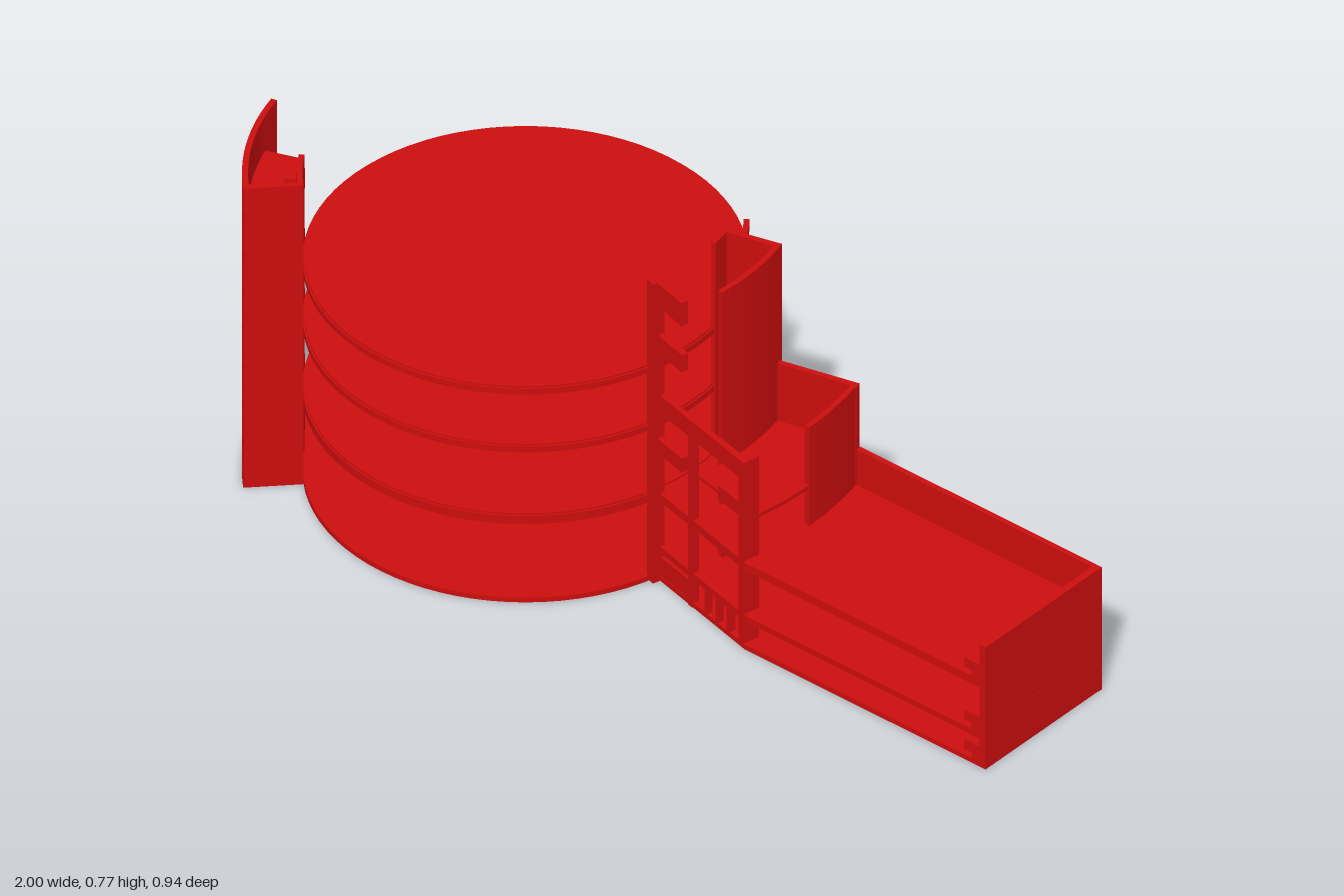
import * as THREE from 'three';

export function createModel() {
  const model = new THREE.Group();
  const red = new THREE.MeshStandardMaterial({ color: 0xcc0d0d, side: THREE.DoubleSide });
  const CX = -0.425; // axis shared by the discs and all curved walls

  function group(name) {
    const g = new THREE.Group();
    g.name = name;
    model.add(g);
    return g;
  }
  function add(parent, name, geometry) {
    const m = new THREE.Mesh(geometry, red);
    m.name = name;
    parent.add(m);
    return m;
  }
  // Box given by its limits
  function box(parent, name, x0, x1, y0, y1, z0, z1) {
    add(parent, name, new THREE.BoxGeometry(x1 - x0, y1 - y0, z1 - z0))
      .position.set((x0 + x1) / 2, (y0 + y1) / 2, (z0 + z1) / 2);
  }
  // Ring sector about the axis; degrees run from +x towards +z
  function sector(parent, name, r0, r1, a0, a1, y0, y1) {
    const s = new THREE.Shape();
    const n = Math.max(1, Math.ceil((a1 - a0) / 2));
    for (let k = 0; k < 2 * (n + 1); k++) {
      const outer = k <= n;
      const t = outer ? k / n : (2 * n + 1 - k) / n;
      const a = THREE.MathUtils.degToRad(a0 + (a1 - a0) * t);
      const r = outer ? r1 : r0;
      const p = [CX + r * Math.cos(a), -r * Math.sin(a)];
      if (k) s.lineTo(...p); else s.moveTo(...p);
    }
    const g = new THREE.ExtrudeGeometry(s, { depth: y1 - y0, bevelEnabled: false });
    g.rotateX(-Math.PI / 2).translate(0, y0, 0);
    add(parent, name, g);
  }

  // Round floors, each with a thinner protruding lip
  const discs = group('roundFloors');
  for (const [y0, y1] of [[0, 0.012], [0.2, 0.228], [0.386, 0.408], [0.536, 0.558]]) {
    const h = y1 - y0, lip = y0 ? 0.004 : 0;
    add(discs, 'floorDisc', new THREE.CylinderGeometry(0.464, 0.464, h, 80)).position.set(CX, y0 + h / 2, 0);
    add(discs, 'floorLip', new THREE.CylinderGeometry(0.468, 0.468, h - 2 * lip, 80)).position.set(CX, y0 + h / 2, 0);
  }

  // Free-standing curved stair tower
  const stair = group('stairTower');
  const TOP = 0.775;
  sector(stair, 'outerWall', 0.582, 0.595, 139.2, 166, 0, TOP);
  sector(stair, 'outerWallEnd', 0.582, 0.595, 134, 136.7, 0, TOP);
  const bars = [0, 0.09, 0.19, 0.28, 0.38, 0.48, 0.57, 0.67, 0.755];
  for (const y of bars) sector(stair, 'windowBar', 0.582, 0.595, 136.7, 139.2, y, y + 0.02);
  sector(stair, 'endWall', 0.468, 0.595, 134, 135.4, 0, TOP);
  sector(stair, 'innerWall', 0.468, 0.48, 134, 147.5, 0, TOP);
  for (const y of [0.05, 0.195, 0.365, 0.52, 0.675]) {
    sector(stair, 'landing', 0.5, 0.59, 134.5, 160, y, y + 0.01);
    sector(stair, 'landingBracket', 0.47, 0.51, 145, 150, y, y + 0.05);
  }
  sector(stair, 'baseSlab', 0.46, 0.595, 134, 166, 0, 0.012);

  // Tall hollow core tower
  const core = group('coreTower');
  sector(core, 'outerWall', 0.583, 0.595, -15, 5.8, 0, TOP);
  sector(core, 'backWall', 0.46, 0.595, -15, -13.6, 0, TOP);
  sector(core, 'innerBackPier', 0.46, 0.472, -15, -8, 0, TOP);
  // Curved panels reaching out from the core along the disc rims
  sector(core, 'upperRimPanel', 0.458, 0.47, -38.5, -15, 0.64, 0.665);
  sector(core, 'lowerRimPanel', 0.458, 0.47, -38.5, -15, 0.097, 0.165);

  // Stepped link between the round floors and the wing
  const link = group('linkBlock');
  sector(link, 'baseSlab', 0.455, 0.785, -14, 13.8, 0, 0.012);
  sector(link, 'lowerSlab', 0.468, 0.785, -14, 13.8, 0.072, 0.088);
  sector(link, 'middleSlab', 0.468, 0.785, -14, 13.8, 0.205, 0.225);
  sector(link, 'upperSlab', 0.595, 0.78, -14, 12, 0.322, 0.331);
  sector(link, 'outerWall', 0.768, 0.78, -14, 0, 0, 0.48);
  sector(link, 'backWall', 0.595, 0.782, -14, -12.9, 0, 0.48);

  // Front frame of the link: posts, beam and brackets
  const frame = group('frontFrame');
  sector(frame, 'innerPost', 0.46, 0.482, 12.4, 16, 0, TOP);
  sector(frame, 'middlePost', 0.585, 0.6, 12.4, 14, 0, 0.48);
  sector(frame, 'outerPost', 0.762, 0.78, 10.8, 13.8, 0, 0.48);
  sector(frame, 'topBeam', 0.47, 0.78, 12.6, 13.8, 0.435, 0.48);
  for (const [y0, y1] of [[0.715, TOP], [0.595, 0.64], [0.335, 0.372]])
    sector(frame, 'bracket', 0.475, 0.57, 13, 14.6, y0, y1);
  sector(frame, 'sideBracket', 0.69, 0.77, 12.6, 13.8, 0.335, 0.37);
  sector(frame, 'lowPanel', 0.47, 0.58, 12.5, 13.6, 0.012, 0.06);
  for (const r of [0.64, 0.68, 0.72]) sector(frame, 'doorPost', r, r + 0.01, 12.6, 13.8, 0.012, 0.075);

  // Long wing: open front, closed back and end, parapet above the roof slab
  const wing = group('wing');
  const Z0 = -0.19, Z1 = 0.187;
  for (const [y0, y1] of [[0, 0.012], [0.072, 0.088], [0.205, 0.225]])
    box(wing, 'slab', 0.335, 0.99, y0, y1, Z0 + 0.005, Z1);
  box(wing, 'backWall', 0.335, 1, 0, 0.316, Z0, Z0 + 0.013);
  box(wing, 'endWall', 0.982, 0.999, 0, 0.316, Z0, Z1);
  for (const y of [0.012, 0.088, 0.225]) {
    box(wing, 'endBracket', 0.94, 0.985, y + 0.015, y + 0.04, 0.168, Z1);
    box(wing, 'endBracketFoot', 0.96, 0.985, y, y + 0.015, 0.168, Z1);
  }
  // Thin window ledges on the end and back walls
  for (const y of [0.045, 0.105, 0.135, 0.17, 0.2, 0.27]) {
    for (const z of [0, 0.067]) box(wing, 'endLedge', 0.995, 1, y - 0.001, y + 0.001, z, z + 0.042);
    for (let i = 0; i < 6; i++)
      box(wing, 'backLedge', 0.4 + i * 0.1, 0.46 + i * 0.1, y - 0.001, y + 0.001, Z0 - 0.001, Z0 + 0.003);
  }
  return model;
}
